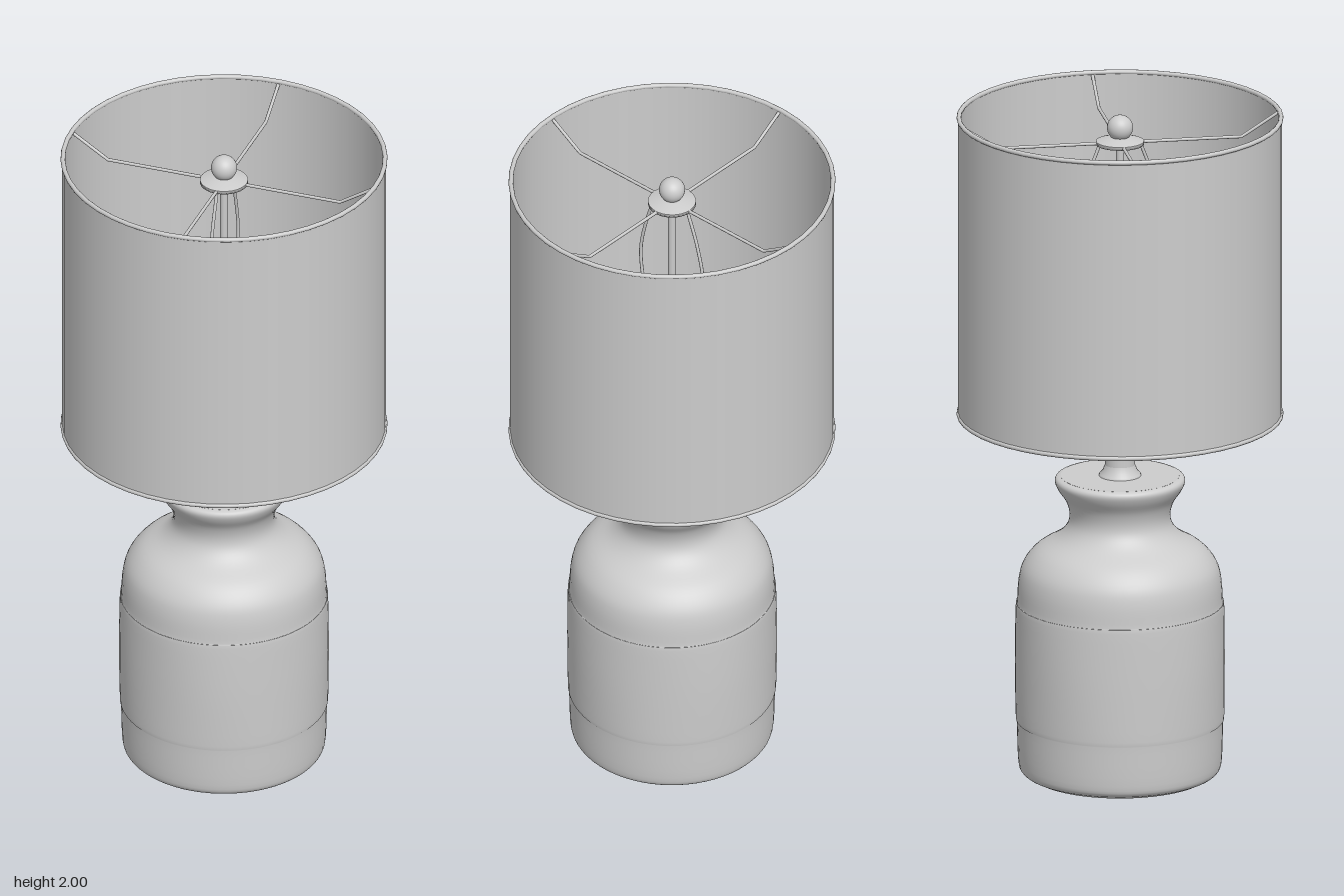
import * as THREE from 'three';

export function createModel() {
  const lamp = new THREE.Group();
  lamp.name = 'tableLamp';
  const grey = new THREE.MeshStandardMaterial({ color: 0xcccccc });
  grey.name = 'plain grey';

  const add = (name, geometry, parent = lamp) => {
    const mesh = new THREE.Mesh(geometry, grey);
    mesh.name = name;
    parent.add(mesh);
    return mesh;
  };
  const lathe = (points, segments) =>
    new THREE.LatheGeometry(points.map(([r, y]) => new THREE.Vector2(r, y)), segments);
  const wire = (points, radius) => {
    const path = new THREE.CurvePath();
    for (let i = 1; i < points.length; i++) path.add(new THREE.LineCurve3(points[i - 1], points[i]));
    return new THREE.TubeGeometry(path, 24, radius, 8);
  };

  // Ceramic bottle: outer wall from the foot to the rounded lip
  const outline = new THREE.SplineCurve([
    [0.265, 0.004], [0.287, 0.014], [0.297, 0.045], [0.301, 0.165], [0.304, 0.18], [0.307, 0.35],
    [0.304, 0.51], [0.300, 0.525], [0.296, 0.59], [0.282, 0.64], [0.245, 0.685], [0.185, 0.722],
    [0.155, 0.755], [0.147, 0.79], [0.157, 0.83], [0.18, 0.865], [0.19, 0.888], [0.186, 0.901], [0.172, 0.906],
  ].map(([r, y]) => new THREE.Vector2(r, y)));
  const bottle = new THREE.LatheGeometry(outline.getPoints(72), 64);

  // Hand-made unevenness in the band between the two seams
  const pos = bottle.attributes.position;
  for (let i = 0; i < pos.count; i++) {
    const y = pos.getY(i);
    if (y < 0.18 || y > 0.51) continue;
    const a = Math.atan2(pos.getZ(i), pos.getX(i));
    const fade = Math.sin(Math.PI * (y - 0.18) / 0.33);
    const s = 1 - 0.006 * fade * (0.5 + 0.5 * Math.sin(5 * a));
    pos.setX(i, pos.getX(i) * s);
    pos.setZ(i, pos.getZ(i) * s);
  }
  bottle.computeVertexNormals();
  // Join the shading across the lathe seam
  const normal = bottle.attributes.normal, rows = 73;
  for (let j = 0; j < rows; j++) {
    const k = 64 * rows + j;
    const n = new THREE.Vector3().fromBufferAttribute(normal, j)
      .add(new THREE.Vector3().fromBufferAttribute(normal, k)).normalize();
    normal.setXYZ(j, n.x, n.y, n.z);
    normal.setXYZ(k, n.x, n.y, n.z);
  }
  add('bottleBody', bottle);
  add('bottleFoot', new THREE.CylinderGeometry(0.266, 0.262, 0.005, 64)).position.y = 0.0025;
  add('bottleLid', new THREE.CylinderGeometry(0.173, 0.173, 0.01, 64)).position.y = 0.901;

  // Stem with a flared collar and the socket on top
  add('stemCollar', lathe([[0.062, 0.904], [0.06, 0.912], [0.05, 0.922], [0.045, 0.94]], 32));
  add('stem', new THREE.CylinderGeometry(0.044, 0.044, 0.6, 32)).position.y = 1.2;
  add('finialRod', new THREE.CylinderGeometry(0.012, 0.012, 0.44, 12)).position.y = 1.71;

  // Drum shade: thin double wall with a wire hoop at each end
  const shade = new THREE.Group();
  shade.name = 'shade';
  lamp.add(shade);
  const low = 1.09, high = 1.998;
  add('shadeOuterWall', lathe([[0.472, low], [0.472, high]], 48), shade);
  add('shadeInnerWall', lathe([[0.466, high], [0.466, low]], 48), shade);
  for (const [name, y] of [['topHoop', 1.993], ['bottomHoop', 1.094]]) {
    const hoop = add(name, new THREE.TorusGeometry(0.47, 0.007, 10, 48), shade);
    hoop.rotation.x = Math.PI / 2;
    hoop.position.y = y;
  }

  // Spider: hub, ball finial and four cranked arms
  const spider = new THREE.Group();
  spider.name = 'spider';
  lamp.add(spider);
  add('hub', lathe([[0, 1.912], [0.07, 1.912], [0.07, 1.922], [0.07, 1.922], [0.03, 1.934], [0, 1.936]], 32), spider);
  add('ballFinial', new THREE.SphereGeometry(0.038, 32, 20), spider).position.y = 1.962;
  const at = (r, y) => new THREE.Vector3(r, y, 0);
  for (let i = 0; i < 4; i++) {
    const arm = add('spiderArm', wire([at(0.05, 1.917), at(0.36, 1.917), at(0.467, 1.985)], 0.005), spider);
    arm.rotation.y = 0.675 + i * Math.PI / 2;
  }

  // Harp: a bowed wire on each side, from the hub down to the stem
  for (let i = 0; i < 2; i++) {
    const bow = new THREE.CatmullRomCurve3([
      at(0.06, 1.915), at(0.1, 1.8), at(0.122, 1.68), at(0.1, 1.55), at(0.04, 1.47),
    ]);
    add('harpWire', new THREE.TubeGeometry(bow, 24, 0.005, 8), spider).rotation.y = 0.675 + i * Math.PI;
  }
  return lamp;
}
